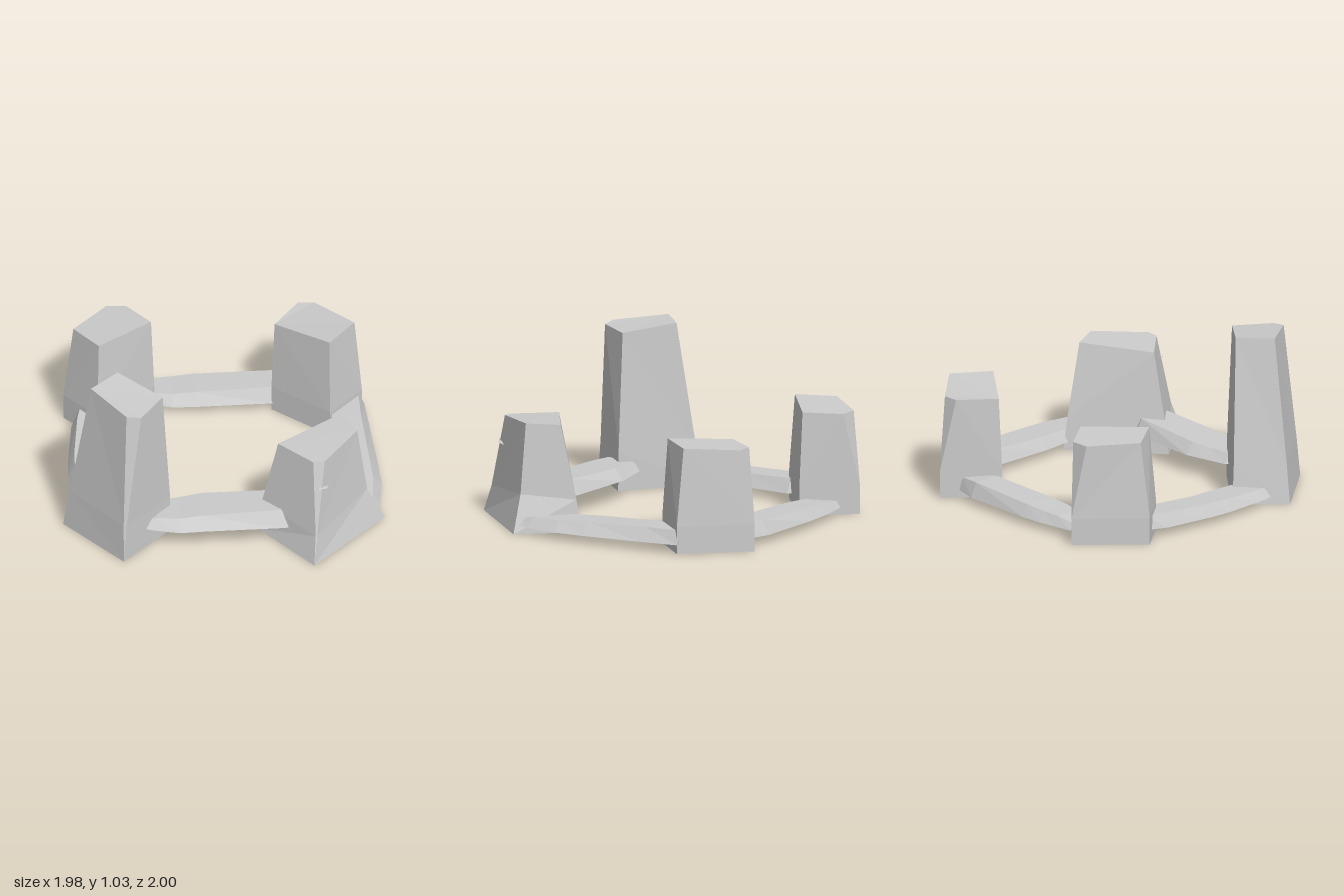
import * as THREE from 'three';

const material = new THREE.MeshStandardMaterial({ color: 0xcccccc, flatShading: true, side: THREE.DoubleSide });

// Faceted solid through rings of equal point count; faces are turned outward.
function loft(name, rings, closedStart) {
  const triangles = [];
  const n = rings[0].length;
  for (let r = 0; r < rings.length - 1; r++) {
    for (let i = 0; i < n; i++) {
      const j = (i + 1) % n;
      const [a, b, c, d] = [rings[r][i], rings[r][j], rings[r + 1][j], rings[r + 1][i]];
      triangles.push([a, b, c], [a, c, d]);
    }
  }
  const last = rings[rings.length - 1];
  for (let i = 1; i < n - 1; i++) {
    if (closedStart) triangles.push([rings[0][0], rings[0][i + 1], rings[0][i]]);
    triangles.push([last[0], last[i], last[i + 1]]);
  }
  const v = (p) => new THREE.Vector3(...p);
  let volume = 0;
  for (const [a, b, c] of triangles) volume += v(a).dot(v(b).cross(v(c)));
  if (volume < 0) triangles.forEach((t) => t.reverse());

  const geometry = new THREE.BufferGeometry();
  geometry.setAttribute('position', new THREE.Float32BufferAttribute(triangles.flat(2), 3));
  geometry.computeVertexNormals();
  const mesh = new THREE.Mesh(geometry, material);
  mesh.name = name;
  return mesh;
}

// Posts are hollow shells, open at the foot.
const post = (name, rings) => loft(name, rings, false);

// Horizontal ring from [x, z] pairs at one height.
const level = (y, points) => points.map(([x, z]) => [x, y, z]);

// Rail section: wide, thin, bevelled on both edges. a0..a1 is its width along z.
function railSection([t, a0, a1, bottom, top]) {
  const mid = bottom + (top - bottom) * 0.1;
  const w = a1 - a0;
  return [
    [t, mid, a0], [t, top, a0 + w * 0.15], [t, top, a1 - w * 0.19],
    [t, mid, a1], [t, bottom, a1 - w * 0.2], [t, bottom, a0 + w * 0.25],
  ];
}
const rail = (name, stations) => loft(name, stations.map(railSection), true);

export function createModel() {
  const model = new THREE.Group();
  model.name = 'postsAndRails';

  // Tall front post, four-cornered at the foot with one corner chamfered at the top
  model.add(post('tallFrontPost', [
    level(0, [[-0.99, 0.5], [-0.75, 0.24], [-0.33, 0.58], [-0.63, 0.92], [-0.63, 0.92]]),
    level(0.25, [[-0.95, 0.51], [-0.73, 0.27], [-0.335, 0.58], [-0.61, 0.89], [-0.63, 0.89]]),
    [[-0.82, 1.03, 0.53], [-0.65, 1.03, 0.36], [-0.38, 0.99, 0.58], [-0.52, 0.99, 0.8], [-0.61, 1.0, 0.8]],
  ]));

  // Short front post with a flared foot
  model.add(post('flaredFrontPost', [
    level(0, [[0.2, 0.585], [0.54, 1], [0.54, 1], [0.99, 0.49], [0.71, 0.175]]),
    [[0.23, 0.2, 0.585], [0.55, 0.17, 0.93], [0.56, 0.17, 0.93], [0.88, 0.23, 0.51], [0.71, 0.2, 0.21]],
    [[0.33, 0.63, 0.585], [0.54, 0.635, 0.8], [0.61, 0.64, 0.8], [0.82, 0.665, 0.51], [0.72, 0.66, 0.32]],
  ]));

  // Small flake on the face of the flared post
  const flake = new THREE.Mesh(new THREE.OctahedronGeometry(1), material);
  flake.name = 'flake';
  flake.scale.set(0.07, 0.012, 0.03);
  flake.position.set(0.6, 0.465, 0.82);
  flake.rotation.set(0, 0.9, -0.2);
  model.add(flake);

  // Two back posts, upright at the foot and tapered above
  const leftFoot = [[0.33, -0.69], [0.56, -1], [0.56, -1], [0.885, -0.64], [0.68, -0.4]];
  model.add(post('backPostLeft', [
    level(0, leftFoot),
    level(0.17, leftFoot),
    [[0.35, 0.63, -0.7], [0.5, 0.635, -0.92], [0.6, 0.635, -0.92], [0.84, 0.66, -0.66], [0.68, 0.665, -0.44]],
  ]));
  const rightFoot = [[-0.39, -0.71], [-0.63, -1], [-0.63, -1], [-0.95, -0.64], [-0.75, -0.4]];
  model.add(post('backPostRight', [
    level(0, rightFoot),
    level(0.17, rightFoot),
    [[-0.41, 0.65, -0.72], [-0.56, 0.635, -0.92], [-0.68, 0.635, -0.92], [-0.89, 0.65, -0.66], [-0.74, 0.665, -0.45]],
  ]));

  // Front and back rails
  model.add(rail('frontRail', [
    [-0.5, 0.54, 0.75, 0.12, 0.165], [-0.42, 0.48, 0.77, 0.115, 0.18], [-0.28, 0.45, 0.8, 0.115, 0.185],
    [-0.14, 0.42, 0.79, 0.115, 0.195], [0.34, 0.44, 0.77, 0.115, 0.22], [0.43, 0.48, 0.765, 0.12, 0.2],
  ]));
  model.add(rail('backRail', [
    [-0.53, -0.92, -0.72, 0.045, 0.09], [-0.4, -0.935, -0.69, 0.04, 0.105], [-0.28, -0.95, -0.66, 0.04, 0.11],
    [-0.14, -0.96, -0.66, 0.04, 0.12], [0.33, -0.95, -0.68, 0.04, 0.14], [0.48, -0.91, -0.72, 0.045, 0.13],
  ]));

  // Side rails, drawn along x and turned so that x runs toward the back
  const sides = [
    rail('leftRail', [
      [-0.49, 0.76, 0.95, 0.045, 0.09], [-0.4, 0.72, 0.965, 0.04, 0.105], [-0.2, 0.69, 0.98, 0.04, 0.115],
      [0, 0.665, 0.965, 0.04, 0.125], [0.4, 0.65, 0.925, 0.045, 0.14], [0.65, 0.7, 0.9, 0.05, 0.145],
    ]),
    rail('rightRail', [
      [-0.49, -0.89, -0.7, 0.045, 0.09], [-0.35, -0.92, -0.65, 0.04, 0.105], [-0.05, -0.945, -0.67, 0.04, 0.12],
      [0.1, -0.94, -0.68, 0.04, 0.125], [0.45, -0.91, -0.65, 0.045, 0.14], [0.58, -0.87, -0.7, 0.05, 0.145],
    ]),
  ];
  for (const side of sides) {
    side.rotation.y = Math.PI / 2;
    model.add(side);
  }

  return model;
}
